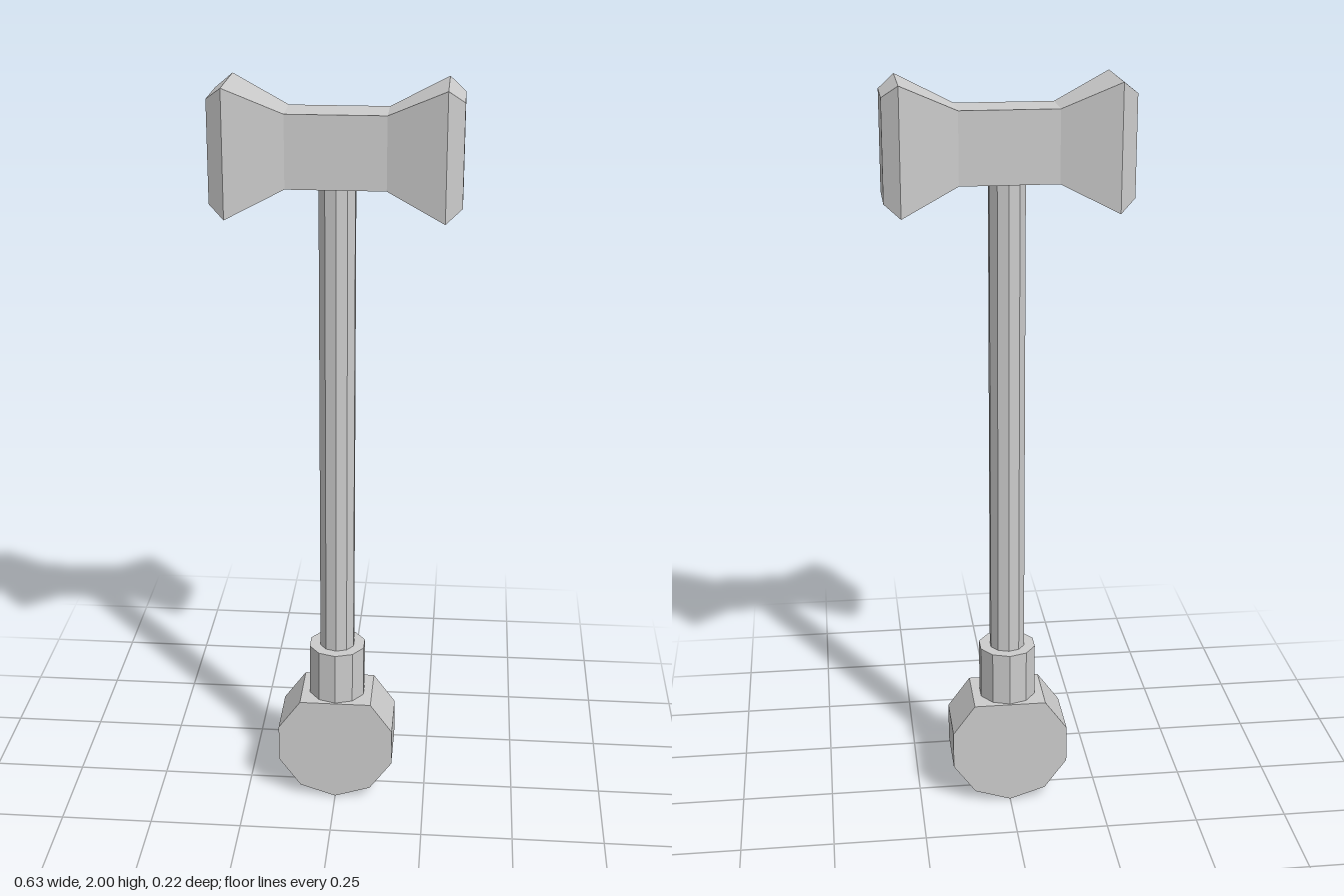
import * as THREE from 'three';

const material = new THREE.MeshStandardMaterial({ color: 0xcccccc, flatShading: true });

function part(name, geometry, y, parent) {
  const mesh = new THREE.Mesh(geometry, material);
  mesh.name = name;
  mesh.position.y = y;
  parent.add(mesh);
}

// Ten-sided upright post between two heights
function post(name, radius, bottom, top, parent) {
  const geometry = new THREE.CylinderGeometry(radius, radius, top - bottom, 10);
  part(name, geometry, (bottom + top) / 2, parent);
}

// Double-faced head: a box whose six rings follow a flared profile along x
function headGeometry() {
  const rings = [ // x, half height, half depth
    [-0.313, 0.129, 0.0755], [-0.272, 0.161, 0.108], [-0.126, 0.0925, 0.0615],
    [0.126, 0.0925, 0.0615], [0.272, 0.161, 0.108], [0.313, 0.129, 0.0755],
  ];
  const geometry = new THREE.BoxGeometry(5, 2, 2, 5, 1, 1);
  const pos = geometry.attributes.position;
  for (let i = 0; i < pos.count; i++) {
    const [x, h, d] = rings[Math.round(pos.getX(i) + 2.5)];
    pos.setXYZ(i, x, pos.getY(i) * h, pos.getZ(i) * d);
  }
  geometry.computeVertexNormals();
  return geometry;
}

// Decagonal disc with its top corner cut flat
function pommelGeometry() {
  const radius = 0.167, depth = 0.167;
  const points = [];
  for (let i = 0; i < 10; i++) {
    if (i === 5) continue;
    const a = (i / 10) * Math.PI * 2;
    points.push(new THREE.Vector2(Math.sin(a) * radius, -Math.cos(a) * radius));
  }
  const geometry = new THREE.ExtrudeGeometry(new THREE.Shape(points), { depth, bevelEnabled: false });
  return geometry.translate(0, 0, -depth / 2);
}

export function createModel() {
  const model = new THREE.Group();
  model.name = 'warHammer';
  part('head', headGeometry(), 1.839, model);
  post('handle', 0.0485, 0.44, 1.76, model);
  post('collar', 0.079, 0.301, 0.45, model);
  part('pommel', pommelGeometry(), 0.167, model);
  return model;
}
